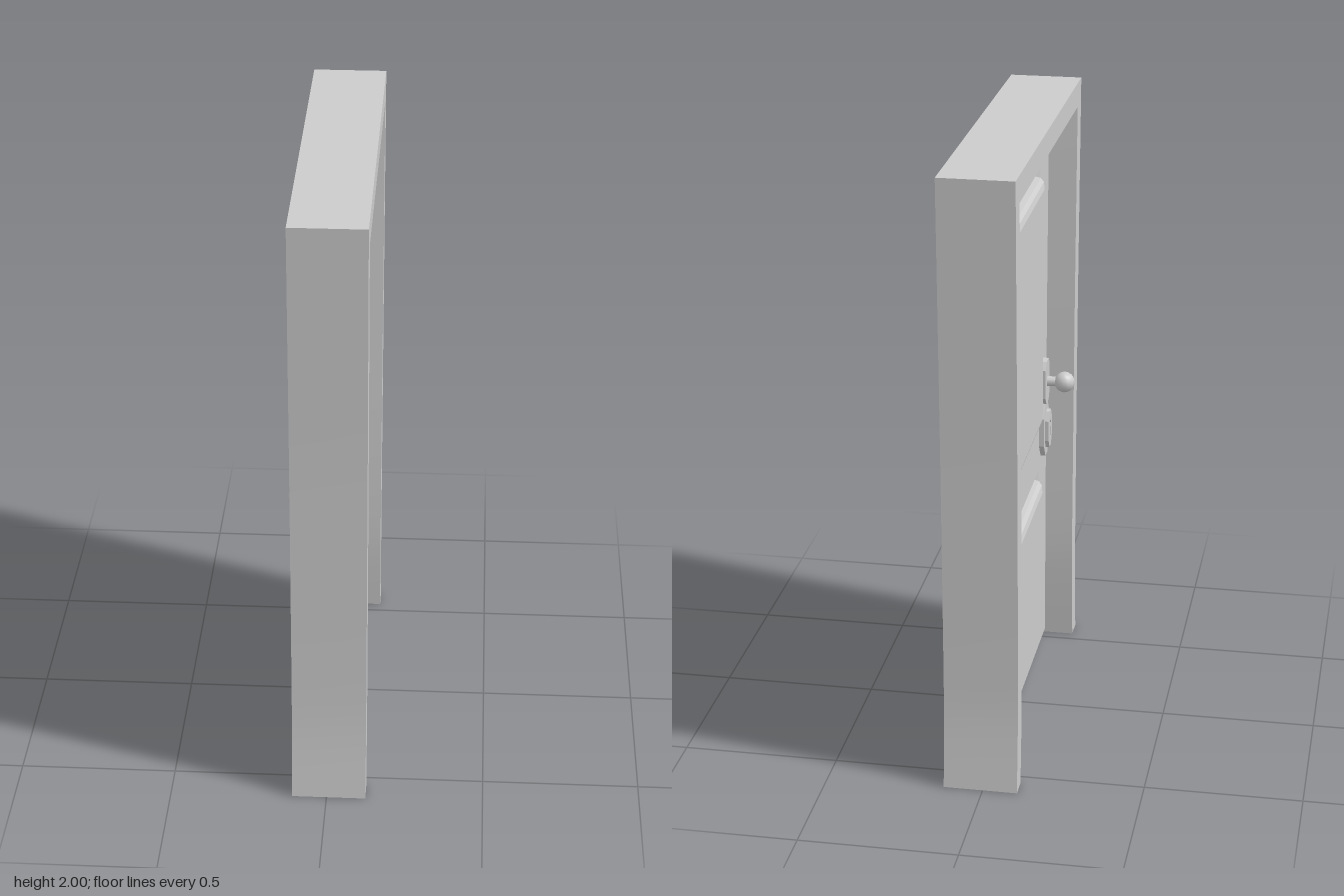
import * as THREE from 'three';
import { toCreasedNormals } from 'three/addons/utils/BufferGeometryUtils.js';

const material = new THREE.MeshStandardMaterial({ color: 0xcccccc });
const v2 = ([z, y]) => new THREE.Vector2(z, y);

function addMesh(parent, name, geometry) {
  const mesh = new THREE.Mesh(geometry, material);
  mesh.name = name;
  parent.add(mesh);
  return mesh;
}

// Smooth run of [z, y] points
const curve = (pts) => new THREE.SplineCurve(pts.map(v2)).getPoints(16);

// Extrude a [z, y] outline from plane x = from towards -x
function slab(outline, from, to, holes = []) {
  const shape = new THREE.Shape(outline);
  for (const h of holes) shape.holes.push(new THREE.Path(h.map(v2)));
  const g = new THREE.ExtrudeGeometry(shape, { depth: from - to, bevelEnabled: false });
  g.rotateY(-Math.PI / 2).translate(from, 0, 0);
  return toCreasedNormals(g, 0.5);
}

// Moulded panel: nested four-sided rings of [inset, x], closed by a flat field
function panelGeometry(corners, rings) {
  const sign = [[1, 1], [-1, 1], [-1, -1], [1, -1]];
  const pts = rings.map(([inset, x]) => corners.map(([z, y], i) =>
    [x, y + sign[i][1] * inset * 0.8, z + sign[i][0] * inset]));
  const pos = [];
  const quad = (a, b, c, d) => pos.push(...a, ...b, ...c, ...a, ...c, ...d);
  for (let r = 0; r < pts.length - 1; r++) {
    for (let i = 0; i < 4; i++) {
      const j = (i + 1) % 4;
      quad(pts[r][i], pts[r][j], pts[r + 1][j], pts[r + 1][i]);
    }
  }
  quad(...pts[pts.length - 1]);
  const g = new THREE.BufferGeometry();
  g.setAttribute('position', new THREE.Float32BufferAttribute(pos, 3));
  g.computeVertexNormals();
  return g;
}

// Upright plate with cut corners
function plateOutline(z, y, w, h, cutW, cutH) {
  return [[-w, -h + cutH], [-w + cutW, -h], [w - cutW, -h], [w, -h + cutH],
    [w, h - cutH], [w - cutW, h], [-w + cutW, h], [-w, h - cutH]].map(([a, b]) => [z + a, y + b]);
}

export function createModel() {
  const model = new THREE.Group();
  model.name = 'doorway';

  // Bowed frame: outer edge up and over, inner edge back
  const outerLeft = curve([[0.612, 0], [0.594, 0.2], [0.588, 0.4], [0.592, 0.8], [0.598, 1.2], [0.614, 1.6], [0.63, 2]]);
  const outerRight = curve([[-0.63, 2], [-0.616, 1.6], [-0.603, 1.2], [-0.594, 0.8], [-0.588, 0.4], [-0.59, 0.22], [-0.607, 0]]);
  const innerRight = curve([[-0.541, 0], [-0.524, 0.2], [-0.518, 0.4], [-0.523, 0.75], [-0.538, 1.15], [-0.552, 1.55], [-0.562, 1.92]]);
  const innerLeft = curve([[0.554, 1.92], [0.54, 1.55], [0.529, 1.23], [0.521, 0.8], [0.515, 0.4], [0.524, 0.2], [0.541, 0]]);
  addMesh(model, 'frame', slab([...outerLeft, ...outerRight, ...innerRight, ...innerLeft], 0.125, -0.11));

  // Door leaf: plain back layer and front layer with panel openings
  const door = new THREE.Group();
  door.name = 'door';
  model.add(door);
  const leaf = [[0.515, 0.025], [0.52, 0.7], [0.529, 1.23], [0.554, 1.92],
    [-0.562, 1.92], [-0.52, 0.7], [-0.52, 0.025]].map(v2);
  const panels = {
    upperPanel: [[-0.34, 0.85], [0.36, 0.86], [0.38, 1.755], [-0.37, 1.75]],
    lowerPanel: [[-0.34, 0.125], [0.36, 0.135], [0.36, 0.695], [-0.34, 0.685]],
  };
  addMesh(door, 'doorBack', slab(leaf, 0.03, 0.004));
  addMesh(door, 'doorFront', slab(leaf, 0.004, -0.015, Object.values(panels)));
  const rings = [[0, -0.015], [0.018, 0], [0.026, 0], [0.03, -0.022], [0.042, -0.034], [0.065, -0.04]];
  for (const [name, corners] of Object.entries(panels)) {
    addMesh(door, name, panelGeometry(corners, rings));
  }

  // Knob with its plate
  const z = 0.425;
  addMesh(door, 'knobPlate', slab(plateOutline(z, 1, 0.042, 0.075, 0.02, 0.025).map(v2), -0.015, -0.035));
  const stem = addMesh(door, 'knobStem', new THREE.CylinderGeometry(0.014, 0.018, 0.06, 10));
  stem.rotation.z = Math.PI / 2;
  stem.position.set(-0.06, 1, z);
  const knob = addMesh(door, 'knob', new THREE.SphereGeometry(0.035, 12, 8));
  knob.position.set(-0.093, 1, z);

  // Lock plate with raised surround and keyhole
  const keyhole = [[-0.007, -0.03], [0.007, -0.03], [0.006, 0.005], [0.013, 0.016], [0.007, 0.03],
    [-0.007, 0.03], [-0.013, 0.016], [-0.006, 0.005]].map(([a, b]) => [z + a, 0.83 + b]);
  addMesh(door, 'lockPlate', slab(plateOutline(z, 0.83, 0.052, 0.095, 0.032, 0.045).map(v2), -0.015, -0.032));
  addMesh(door, 'lockSurround',
    slab(plateOutline(z, 0.83, 0.034, 0.065, 0.02, 0.03).map(v2), -0.032, -0.045, [keyhole]));

  return model;
}
